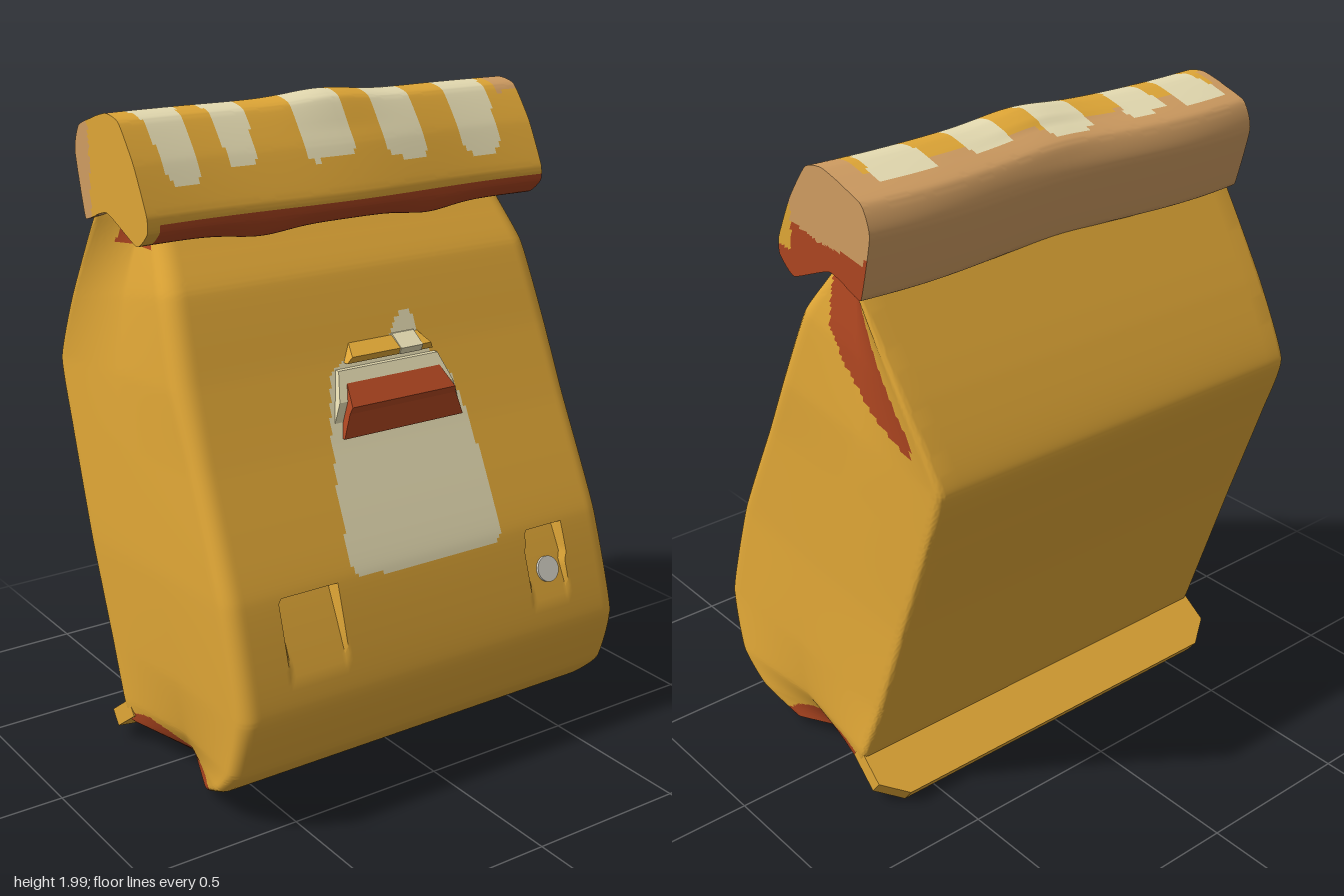
import * as THREE from 'three';
import { toCreasedNormals } from 'three/addons/utils/BufferGeometryUtils.js';

const flat = (name, color) => Object.assign(new THREE.MeshStandardMaterial({ color }), { name });
const V = (x, y, z) => new THREE.Vector3(x, y, z);
const lerp = THREE.MathUtils.lerp;
const shapeOf = points => new THREE.Shape(points.map(p => new THREE.Vector2(...p)));

// Even-odd test of a point against a polygon
function inside(poly, x, y) {
  let hit = false;
  poly.forEach(([x1, y1], i) => {
    const [x2, y2] = poly[(i + 1) % poly.length];
    if ((y1 > y) !== (y2 > y) && x < x1 + (y - y1) / (y2 - y1) * (x2 - x1)) hit = !hit;
  });
  return hit;
}

// Skin closed rings of points; paint(centre, row) picks a material index per cell
function skin(name, rings, materials, paint, crease) {
  const n = rings[0].length;
  const lists = materials.map(() => []);
  for (let i = 0; i < rings.length - 1; i++) {
    for (let j = 0; j < n; j++) {
      const k = (j + 1) % n;
      const mid = rings[i][j].clone().add(rings[i + 1][k]).multiplyScalar(0.5);
      const a = i * n + j, b = i * n + k, c = b + n, d = a + n;
      lists[paint(mid, i)].push(a, b, c, a, c, d);
    }
  }
  const geo = new THREE.BufferGeometry().setFromPoints(rings.flat());
  let start = 0;
  lists.forEach((l, m) => { geo.addGroup(start, l.length, m); start += l.length; });
  geo.setIndex(lists.flat());
  const mesh = new THREE.Mesh(toCreasedNormals(geo, crease), materials);
  mesh.name = name;
  return mesh;
}

// Rings shrinking from the centre of a ring out to its edge
function capRings(ring, count) {
  const c = ring.reduce((s, p) => s.add(p), V(0, 0, 0)).divideScalar(ring.length);
  return Array.from({ length: count }, (_, i) =>
    ring.map(p => c.clone().lerp(p, (i + 0.01) / count)));
}

// Rounded rectangle, tighter at the back: front edge, right side, back edge, left side; s runs front to back
function roundedRing(w, d, r) {
  const out = [], q = r * 0.4;
  const edge = (x1, z1, x2, z2, n) => {
    for (let i = 0; i < n; i++) out.push([lerp(x1, x2, i / n), lerp(z1, z2, i / n)]);
  };
  const arc = (cx, cz, a, rad) => {
    for (let i = 0; i < 6; i++) {
      const t = a + i / 6 * Math.PI / 2;
      out.push([cx + rad * Math.sin(t), cz - rad * Math.cos(t)]);
    }
  };
  edge(-w + r, 0, w - r, 0, 120); arc(w - r, r, 0, r);
  edge(w, r, w, d - q, 36); arc(w - q, d - q, Math.PI / 2, q);
  edge(w - q, d, -w + q, d, 24); arc(-w + q, d - q, Math.PI, q);
  edge(-w, d - q, -w, r, 36); arc(-w + r, r, Math.PI * 1.5, r);
  return out.map(([x, z]) => [x, z / d]);
}

// Stations from bottom to top:
// front z,y  back z,y  front and back half width, gusset inset, corner radius, x shift
const STATIONS = [
  [0.26, 0.03, -0.14, 0.09, 0.655, 0.67, 0.12, 0.04, 0],
  [0.39, 0.105, -0.17, 0.10, 0.69, 0.685, 0.10, 0.04, 0],
  [0.49, 0.20, -0.20, 0.16, 0.698, 0.69, 0.05, 0.05, 0],
  [0.55, 0.39, -0.26, 0.34, 0.69, 0.68, 0.01, 0.05, -0.01],
  [0.47, 0.715, -0.36, 0.65, 0.68, 0.675, 0, 0.05, -0.02],
  [0.308, 1.05, -0.48, 0.98, 0.67, 0.67, 0, 0.05, -0.015],
  [0.21, 1.26, -0.545, 1.18, 0.67, 0.67, 0.01, 0.06, -0.01],
  [0.105, 1.50, -0.43, 1.40, 0.65, 0.685, 0.04, 0.06, -0.005],
  [-0.01, 1.65, -0.25, 1.68, 0.61, 0.695, 0.08, 0.05, 0],
  [-0.04, 1.75, -0.20, 1.76, 0.58, 0.66, 0.08, 0.04, 0],
];

function bodyRings() {
  const track = pick => new THREE.CatmullRomCurve3(STATIONS.map(pick), false, 'catmullrom', 0.25);
  const front = track(s => V(s[8], s[1], s[0])), back = track(s => V(s[8], s[3], s[2]));
  const width = track(s => V(s[4], s[5], 0)), fold = track(s => V(s[6], s[7], 0));
  const rows = 180, rings = [];
  for (let i = 0; i <= rows; i++) {
    const t = i / rows, f = front.getPoint(t), b = back.getPoint(t);
    const w = width.getPoint(t), q = fold.getPoint(t);
    rings.push(roundedRing(w.x, f.distanceTo(b), q.y).map(([x, s]) => {
      const p = f.clone().lerp(b, s);
      p.x += x * lerp(1, w.y / w.x, s) * (1 - q.x * (1 - Math.abs(2 * s - 1)));
      // shallow pockets low on the front
      const pocket = (p.x > -0.53 && p.x < -0.34) || (p.x > 0.35 && p.x < 0.49);
      if (s < 0.01 && pocket && p.y > 0.47 && p.y < 0.7) p.z -= 0.04 * (p.y - 0.47) / 0.23;
      return p;
    }));
  }
  return rings;
}

// Painted areas: front panel and spot in x,y; side areas in z,y
const PANEL = [[-0.28, 0.75], [-0.265, 0.71], [-0.2, 0.7], [0.24, 0.69], [0.262, 0.72], [0.26, 0.95], [0.25, 1.07],
  [0.225, 1.18], [0.16, 1.26], [-0.12, 1.27], [-0.19, 1.23], [-0.235, 1.08], [-0.27, 0.9]];
const SPOT = [[0.03, 1.25], [0.15, 1.27], [0.135, 1.36], [0.1, 1.37], [0.05, 1.32]];
const GUSSET = [[-0.035, 1.6], [-0.04, 1.78], [-0.13, 1.78], [-0.17, 1.66], [-0.28, 1.48], [-0.43, 1.29],
  [-0.42, 1.24], [-0.24, 1.31], [-0.12, 1.4], [-0.04, 1.5]];
const FOOT = [[0.29, 0], [0.28, 0.04], [0.24, 0.08], [0.16, 0.11], [0.03, 0.14], [-0.05, 0.15], [-0.14, 0.13], [-0.2, 0]];
// Stripes: x range at the back end, x range at the front end, z of back and front ends
const STRIPES = [
  [-0.665, -0.485, -0.6, -0.5, -0.265, 0.055],
  [-0.43, -0.28, -0.4, -0.31, -0.25, 0.045],
  [-0.145, 0.01, -0.15, 0.02, -0.245, 0.06],
  [0.13, 0.28, 0.13, 0.28, -0.225, 0.065],
  [0.41, 0.6, 0.42, 0.565, -0.25, 0.06],
];

function inStripe([b0, b1, f0, f1, zb, zf], p) {
  if (p.z < zb || p.z > zf) return false;
  const t = (p.z - zb) / (zf - zb);
  const near = Math.min(1, Math.min(p.z - zb, zf - p.z) / 0.02);
  const round = 0.03 * (1 - Math.sqrt(1 - (1 - near) ** 2));
  return p.x > lerp(b0, f0, t) + round && p.x < lerp(b1, f1, t) - round;
}

// Rolled top: profile z,y going down the front and up the back
const ROLL = [[-0.04, 1.965], [0.04, 1.86], [0.105, 1.73], [0.105, 1.68], [0.04, 1.635],
  [-0.13, 1.70], [-0.25, 1.665], [-0.275, 1.67], [-0.32, 1.85], [-0.285, 1.93], [-0.12, 1.98]];

function rollRings() {
  const curve = new THREE.CatmullRomCurve3(ROLL.map(([z, y]) => V(0, y, z)), true, 'catmullrom', 0.25);
  const profile = curve.getPoints(110).slice(0, -1);
  const rings = [];
  for (let i = 0; i <= 140; i++) {
    const x = lerp(-0.697, 0.697, i / 140);
    const wave = (1 - Math.cos(2 * Math.PI * x)) / 2;
    const peak = Math.exp(-((x / 0.15) ** 2)) * 0.018;
    const sag = 0.018 * Math.exp(-(((Math.abs(x) - 0.3) / 0.12) ** 2));
    rings.push(profile.map(p => V(x,
      p.y + peak * Math.max(0, (p.y - 1.9) / 0.08) - (p.z > 0 && p.y < 1.7 ? sag * (1.7 - p.y) / 0.065 : 0),
      p.z + (p.z < -0.2 ? 0.015 : 0) - (p.z < -0.2 ? 0.035 : 0.02) * wave)));
  }
  return [...capRings(rings[0], 14), ...rings, ...capRings(rings[140], 14).reverse()];
}

// Tapered wedge: z,y profile swept across x and narrowing upward
function wedge(name, profile, halfWidth, taper, centre, material) {
  const geo = new THREE.ExtrudeGeometry(shapeOf(profile), { depth: halfWidth * 2, bevelEnabled: false });
  geo.translate(0, 0, -halfWidth).rotateY(-Math.PI / 2);
  const pos = geo.attributes.position, y0 = profile[0][1];
  for (let i = 0; i < pos.count; i++) pos.setX(i, pos.getX(i) * (1 - taper * (pos.getY(i) - y0)) + centre);
  geo.computeVertexNormals();
  const mesh = new THREE.Mesh(geo, material);
  mesh.name = name;
  return mesh;
}

export function createModel() {
  const yellow = flat('yellow paper', 0xdfa636), cream = flat('cream', 0xe5dbb1);
  const red = flat('rust red', 0xac4520), tan = flat('tan', 0xcf9c61), grey = flat('pale grey', 0xd2cfc4);
  const materials = [yellow, cream, red, tan];
  const group = new THREE.Group();
  group.name = 'paperBag';

  // Bag body with closed underside
  const rings = bodyRings(), capCount = 8;
  const body = [...capRings(rings[0], capCount), ...rings];
  group.add(skin('bagBody', body, materials, (p, row) => {
    if (row < capCount) return 2;
    if (Math.abs(p.x) > 0.5) {
      if (inside(FOOT, p.z, p.y)) return 2;
      if (inside(GUSSET, p.z, p.y) && (p.x > 0 || p.y > 1.6)) return 2;
    }
    if (p.z > 0.1 && (inside(PANEL, p.x, p.y) || inside(SPOT, p.x, p.y))) return 1;
    return 0;
  }, 0.7));

  // Round spot lying in the right pocket
  const dot = new THREE.Mesh(new THREE.CylinderGeometry(0.04, 0.04, 0.009, 24), grey);
  dot.name = 'pocketSpot';
  const miss = p => Math.hypot(p.x - 0.43, p.y - 0.56) + (p.z < 0.1 ? 9 : 0);
  const seat = rings.flat().reduce((best, p) => (miss(p) < miss(best) ? p : best));
  dot.position.copy(seat).add(V(0, 0.001, 0.004));
  dot.rotation.x = Math.PI / 2 - 0.39;
  group.add(dot);

  // Rolled top with stripes
  group.add(skin('rolledTop', rollRings(), materials, p => {
    if (p.x < -0.694) return p.z < -0.24 ? 3 : 0;
    if (p.x > 0.694) {
      if (p.z > 0.03 && p.y > 1.71) return 0;
      return p.y < 1.77 + 0.2 * Math.max(0, p.z + 0.1) ? 2 : 3;
    }
    if (p.y < 1.7 && p.z > -0.2) return p.x < -0.66 ? 0 : 2;
    if (p.y > 1.74 && STRIPES.some(s => inStripe(s, p))) return 1;
    const edge = p.x > 0.62 ? -0.04 : p.x < -0.67 ? -0.12 : -0.2;
    return p.z > edge ? 0 : 3;
  }, 0.7));

  // Flap along the back of the base, lower corners cut
  const flapShape = shapeOf([[-0.61, -0.095], [0.61, -0.095], [0.69, -0.03], [0.685, 0.095], [-0.685, 0.095], [-0.69, -0.03]]);
  const flap = new THREE.Mesh(new THREE.ExtrudeGeometry(flapShape, { depth: 0.055, bevelEnabled: false })
    .translate(0, 0, -0.0275), yellow);
  flap.name = 'baseFlap';
  flap.position.set(0, 0.085, -0.225);
  flap.rotation.x = 0.925;
  group.add(flap);

  // Raised opening on the front panel
  const brow = [[0.13, 1.255], [0.23, 1.255], [0.238, 1.275], [0.19, 1.305], [0.13, 1.305]];
  group.add(wedge('openingCheeks', [[0.18, 1.07], [0.285, 1.07], [0.28, 1.16], [0.235, 1.24], [0.16, 1.24]], 0.235, 1.4, 0.01, cream));
  group.add(wedge('openingRed', [[0.18, 1.06], [0.312, 1.06], [0.305, 1.13], [0.31, 1.15], [0.24, 1.22], [0.18, 1.22]], 0.215, 1.5, 0.015, red));
  group.add(wedge('openingBrow', brow, 0.155, 4, 0.02, yellow));
  group.add(wedge('browSpot', brow.map(([z, y]) => [z + 0.004, y + (y > 1.3 ? 0.004 : 0)]), 0.04, 0, 0.09, cream));
  return group;
}
